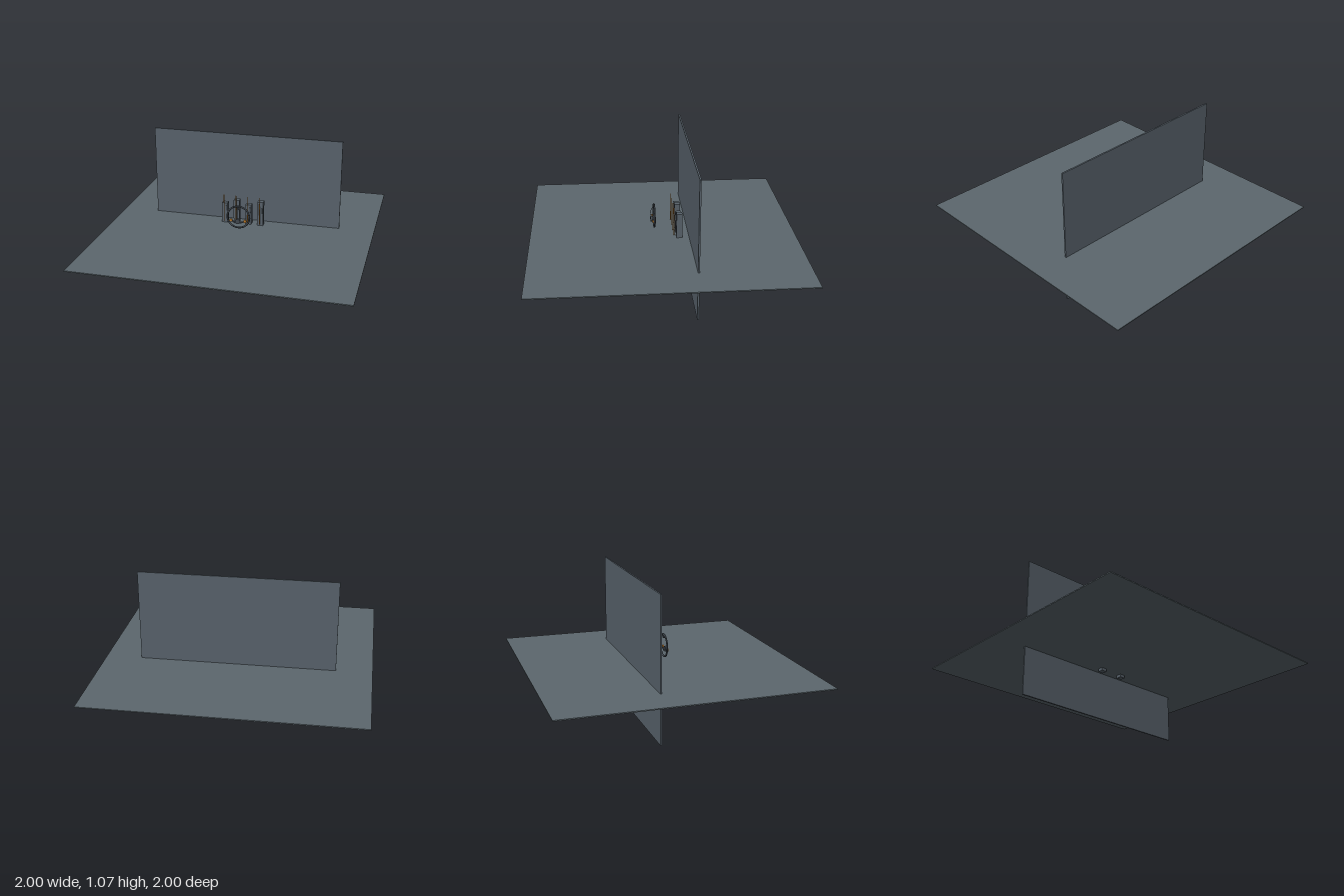
import * as THREE from 'three';

const material = (name, color) => {
  const m = new THREE.MeshStandardMaterial({ color });
  m.name = name;
  return m;
};

export function createModel() {
  const model = new THREE.Group();
  const floorGrey = material('floor grey', 0x5c676d);
  const wallGrey = material('wall grey', 0x57616a);
  const darkSteel = material('dark steel', 0x40474e);
  const amber = material('amber', 0xb5762a);

  const add = (name, geometry, mat, x, y, z, parent = model) => {
    const mesh = new THREE.Mesh(geometry, mat);
    mesh.name = name;
    mesh.position.set(x, y, z);
    parent.add(mesh);
    return mesh;
  };
  const box = (name, w, h, d, mat, x, y, z, parent) =>
    add(name, new THREE.BoxGeometry(w, h, d), mat, x, y, z, parent);

  // Large crossing slabs
  box('floor', 2, 0.008, 2, floorGrey, 0, 0.371, 0);
  box('backWall', 1.464, 1.068, 0.012, wallGrey, 0, 0.534, -0.199);

  // Row of pillars, alternating short and tall, each with a rod in front
  [-0.149, -0.055, 0.038, 0.132].forEach((x, i) => {
    const pillar = new THREE.Group();
    pillar.name = 'pillar' + (i + 1);
    model.add(pillar);
    const height = i % 2 ? 0.222 : 0.16;
    box('pillarBody', 0.045, height, 0.043, wallGrey, x, 0.456, -0.12, pillar);
    box('pillarHandle', 0.007, 0.042, 0.006, darkSteel, x + 0.014, 0.496, -0.096, pillar);
    add('amberRod', new THREE.CylinderGeometry(0.003, 0.003, 0.22, 8), amber, x, 0.5, -0.08, pillar);
  });

  // Round instrument standing in front of the pillars
  const dial = new THREE.Group();
  dial.name = 'dial';
  dial.position.set(0, 0.497, 0.06);
  model.add(dial);
  add('dialRim', new THREE.TorusGeometry(0.086, 0.007, 8, 40), darkSteel, 0, 0, 0, dial);

  // Fixtures inside the rim
  box('topBlock', 0.028, 0.018, 0.012, darkSteel, 0, 0.068, 0, dial);
  const hub = add('hub', new THREE.CylinderGeometry(0.02, 0.02, 0.02, 16), darkSteel, 0, -0.027, 0.018, dial);
  hub.rotation.x = Math.PI / 2;
  for (const side of [-1, 1]) {
    const arm = box('arm', 0.055, 0.01, 0.008, darkSteel, side * 0.037, -0.035, 0.008, dial);
    arm.rotation.z = side * 0.35;
    const knob = add('amberKnob', new THREE.CylinderGeometry(0.012, 0.012, 0.01, 12), amber,
      side * 0.055, -0.025, 0.012, dial);
    knob.rotation.x = Math.PI / 2;
  }

  // Bowed wire from the top block down to the hub
  const bow = new THREE.QuadraticBezierCurve3(
    new THREE.Vector3(0, 0.078, 0.004),
    new THREE.Vector3(0, 0.045, 0.036),
    new THREE.Vector3(0, -0.025, 0.024));
  add('wire', new THREE.TubeGeometry(bow, 16, 0.002, 6), darkSteel, 0, 0, 0, dial);

  return model;
}
